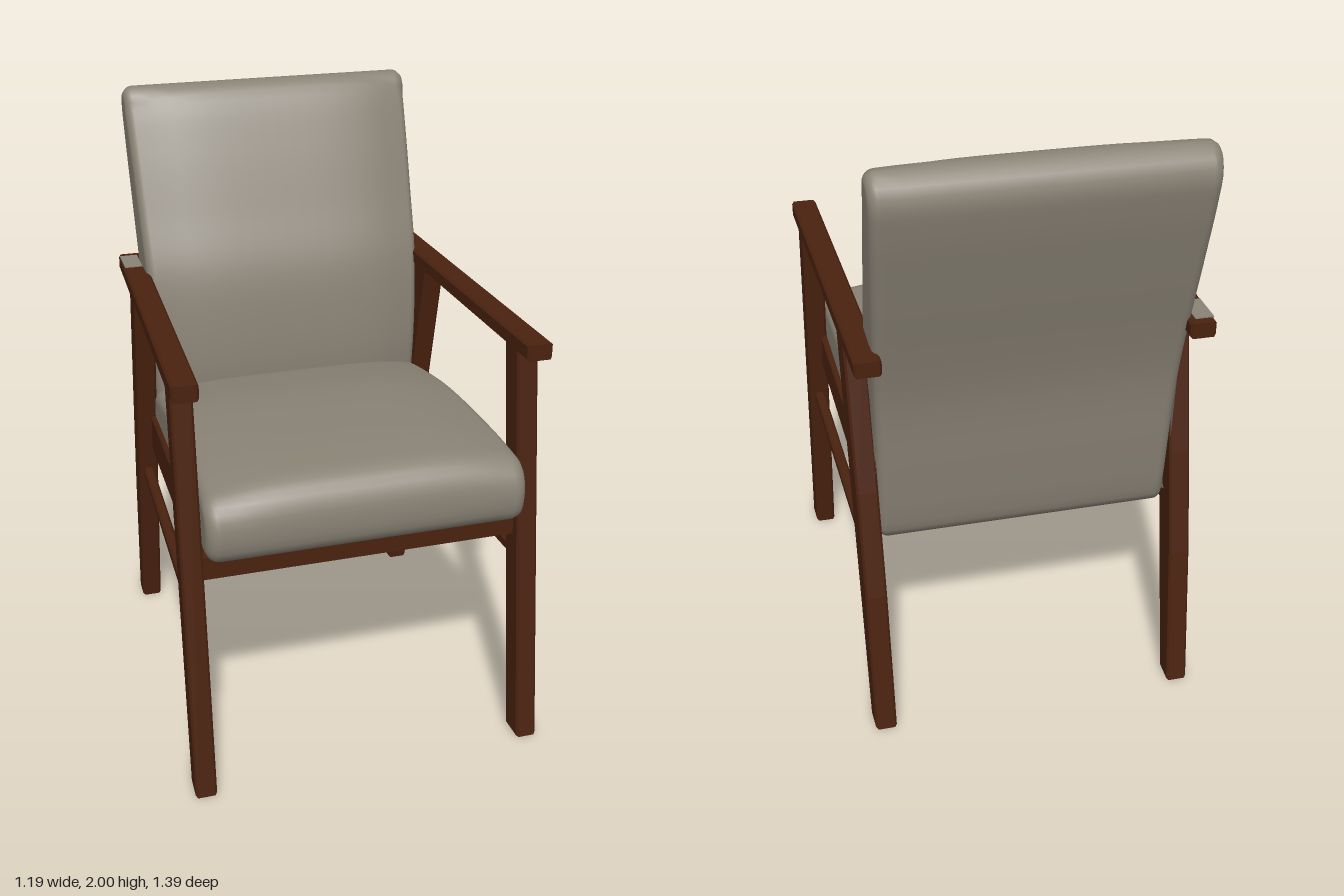
import * as THREE from 'three';

const wood = new THREE.MeshStandardMaterial({ color: 0x4a220f });
wood.name = 'walnut wood';
const fabric = new THREE.MeshStandardMaterial({ color: 0x8a8376 });
fabric.name = 'grey fabric';

function add(group, name, geometry, material) {
  const mesh = new THREE.Mesh(geometry, material);
  mesh.name = name;
  group.add(mesh);
  return mesh;
}

// Side-frame timber: a (z, y) outline given thickness in x; the frames splay towards the front.
function timber(outline, thickness, side, offset = 0) {
  const bevel = 0.007;
  const shape = new THREE.Shape(outline.map(([z, y]) => new THREE.Vector2(z, y)));
  const geo = new THREE.ExtrudeGeometry(shape, {
    depth: thickness - 2 * bevel, bevelEnabled: true, bevelSegments: 1,
    bevelSize: bevel, bevelThickness: bevel, bevelOffset: -bevel,
  });
  geo.translate(0, 0, bevel - thickness / 2);
  geo.rotateY(-Math.PI / 2);
  const p = geo.attributes.position;
  for (let i = 0; i < p.count; i++) {
    p.setX(i, p.getX(i) + side * (0.5325 + offset + 0.0335 * p.getZ(i)));
  }
  geo.computeVertexNormals();
  return geo;
}

// Upholstered pad: a closed (z, y) profile swept across x, with rounded sides.
// The surface facing `dir` (z, y) sinks by `crown` towards the sides.
function cushion(profile, halfWidth, radius, crown, dir) {
  const curve = new THREE.CatmullRomCurve3(
    profile.map(([z, y]) => new THREE.Vector3(0, y, z)), true, 'centripetal');
  const n = 96, round = 6, flat = 16;
  const stations = []; // [fraction of the flat width, rounding angle]
  for (let i = round; i > 0; i--) stations.push([-1, (i / round) * Math.PI / 2]);
  for (let i = 0; i <= flat; i++) stations.push([-1 + (2 * i) / flat, 0]);
  for (let i = 1; i <= round; i++) stations.push([1, (i / round) * Math.PI / 2]);

  const pos = [], index = [];
  for (const [f, a] of stations) {
    const inset = radius * (1 - Math.cos(a));
    for (let j = 0; j < n; j++) {
      const q = curve.getPointAt(j / n), t = curve.getTangentAt(j / n);
      const nz = t.y, ny = -t.z;
      const facing = Math.max(0, nz * dir[0] + ny * dir[1]);
      const sink = inset + crown * facing * f ** 4;
      const x = f * (halfWidth(q.z, q.y) - radius) + Math.sign(f) * radius * Math.sin(a);
      pos.push(x, q.y - ny * sink, q.z - nz * sink);
    }
  }
  const last = stations.length - 1;
  for (let i = 0; i < last; i++) {
    for (let j = 0; j < n; j++) {
      const a = i * n + j, b = i * n + (j + 1) % n;
      index.push(a, a + n, b, b, a + n, b + n);
    }
  }
  // flat end caps
  for (const [ring, right] of [[0, false], [last, true]]) {
    const c = [0, 0, 0], centre = pos.length / 3;
    for (let j = 0; j < n; j++) for (let k = 0; k < 3; k++) c[k] += pos[(ring * n + j) * 3 + k] / n;
    pos.push(...c);
    for (let j = 0; j < n; j++) {
      const a = ring * n + j, b = ring * n + (j + 1) % n;
      if (right) index.push(centre, b, a);
      else index.push(centre, a, b);
    }
  }
  const geo = new THREE.BufferGeometry();
  geo.setAttribute('position', new THREE.Float32BufferAttribute(pos, 3));
  geo.setIndex(index);
  geo.computeVertexNormals();
  return geo;
}

export function createModel() {
  const chair = new THREE.Group();
  chair.name = 'armchair';

  // Two mirrored side frames
  for (const side of [1, -1]) {
    const frame = new THREE.Group();
    frame.name = side > 0 ? 'leftFrame' : 'rightFrame';
    chair.add(frame);
    add(frame, 'frontLeg', timber(
      [[0.605, 0], [0.695, 0], [0.51, 1.365], [0.415, 1.365]], 0.07, side), wood);
    add(frame, 'backLeg', timber(
      [[-0.615, 0], [-0.53, 0], [-0.355, 0.86], [-0.25, 1.365], [-0.366, 1.365],
        [-0.475, 0.86], [-0.545, 0.5]], 0.07, side), wood);
    add(frame, 'armrest', timber(
      [[-0.6, 1.352], [0.595, 1.356], [0.595, 1.41], [-0.6, 1.403]], 0.083, side), wood);
    add(frame, 'sideRail', timber(
      [[-0.42, 0.715], [0.52, 0.785], [0.52, 0.917], [-0.42, 0.862]], 0.04, side, -0.035), wood);
    add(frame, 'stretcher', timber(
      [[-0.45, 0.598], [0.56, 0.622], [0.56, 0.662], [-0.45, 0.634]], 0.035, side), wood);
  }

  // Rail across the front, under the seat
  add(chair, 'frontRail', new THREE.BoxGeometry(1.04, 0.077, 0.05), wood)
    .position.set(0, 0.769, 0.535);

  // Seat pad
  add(chair, 'seat', cushion(
    [[-0.4, 0.765], [0.1, 0.79], [0.5, 0.815], [0.6, 0.82], [0.648, 0.845], [0.665, 0.93],
      [0.65, 1.01], [0.6, 1.06], [0.5, 1.074], [0.25, 1.077], [0, 1.065], [-0.2, 1.035],
      [-0.35, 1.0], [-0.42, 0.96], [-0.43, 0.85]],
    (z) => 0.5 + 0.025 * z, 0.045, 0.03, [0, 1]), fabric);

  // Reclined back pad
  add(chair, 'backrest', cushion(
    [[-0.43, 0.655], [-0.395, 0.655], [-0.365, 0.72], [-0.29, 0.88], [-0.27, 1.02],
      [-0.275, 1.2], [-0.305, 1.4], [-0.38, 1.6], [-0.46, 1.8], [-0.525, 1.94],
      [-0.56, 1.985], [-0.61, 2.0], [-0.665, 1.98], [-0.692, 1.92], [-0.677, 1.82],
      [-0.62, 1.6], [-0.515, 1.2], [-0.475, 0.9], [-0.45, 0.72]],
    (z, y) => 0.483 + 0.022 * Math.max(0, y - 1), 0.035, 0.045, [1, 0]), fabric);

  // Fabric patch on the rear of one armrest
  add(chair, 'armrestPatch', new THREE.BoxGeometry(0.06, 0.006, 0.12), fabric)
    .position.set(-0.524, 1.404, -0.51);

  return chair;
}
